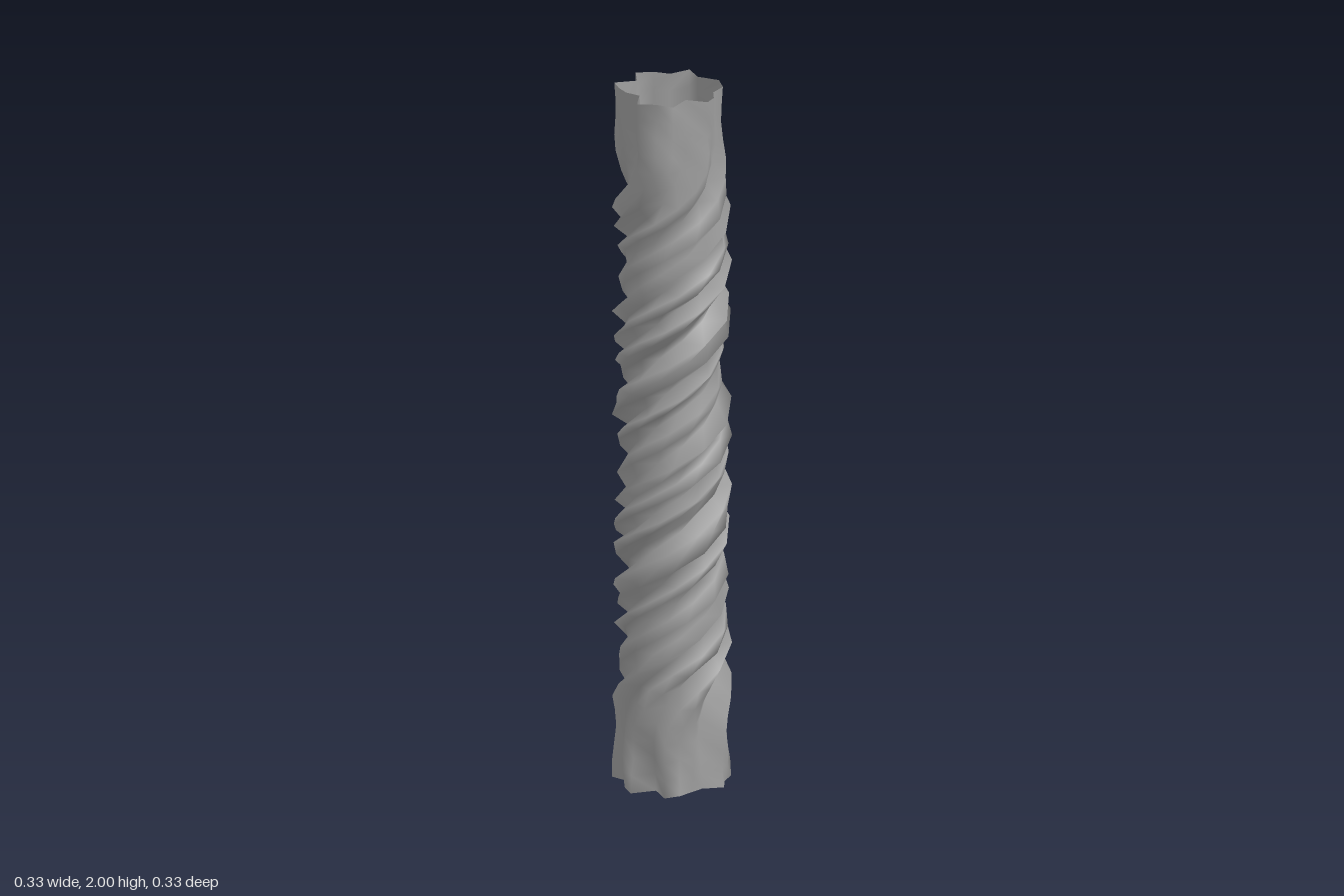
import * as THREE from 'three';

// Uneven star cross-section at the top: [degrees from front towards +x, radius]
const STAR = [
  [0, 0.145], [18, 0.163], [38, 0.105], [57, 0.152], [72, 0.14], [90, 0.118],
  [112, 0.14], [135, 0.146], [161, 0.12], [180, 0.165], [199, 0.122],
  [217, 0.147], [234, 0.165], [253, 0.115], [270, 0.165], [286, 0.145],
  [303, 0.13], [322, 0.108], [341, 0.165],
];
const HEIGHT = 2;
const ROWS = 40;
const TWIST = THREE.MathUtils.degToRad(980);

// Twist at a height, ending at zero on top: straight collars, even twist between
function twistAt(y) {
  const start = 0.15, end = 1.85, ease = 0.22;
  const ramp = (d) => (d <= 0 ? 0 : d < ease ? (d * d) / (2 * ease) : d - ease / 2);
  const travelled = ramp(y - start) - ramp(y - (end - ease));
  return (travelled / (end - start - ease) - 1) * TWIST;
}

// Open tube lofted from the star, turned row by row
function twistedTube() {
  const positions = [], index = [];
  const n = STAR.length;
  for (let i = 0; i <= ROWS; i++) {
    const y = (i / ROWS) * HEIGHT;
    const twist = twistAt(y);
    STAR.forEach(([deg, radius], j) => {
      // unevenness along each ridge, fading out at the top rim
      const wobble = 0.07 * Math.min(1, (ROWS - i) / 3) * Math.sin(i * 0.9 + j * 2.3);
      const r = Math.min(0.165, radius * (1 + wobble));
      const a = THREE.MathUtils.degToRad(deg) + twist;
      positions.push(r * Math.sin(a), y, r * Math.cos(a));
      if (i < ROWS) {
        const p = i * n + j, q = i * n + ((j + 1) % n);
        index.push(p, q, p + n, q, q + n, p + n);
      }
    });
  }
  const geometry = new THREE.BufferGeometry();
  geometry.setAttribute('position', new THREE.Float32BufferAttribute(positions, 3));
  geometry.setIndex(index);
  geometry.computeVertexNormals();
  return geometry;
}

export function createModel() {
  const group = new THREE.Group();
  group.name = 'twistedColumn';
  const tube = new THREE.Mesh(
    twistedTube(),
    new THREE.MeshStandardMaterial({ color: 0x9f9f9f, side: THREE.DoubleSide }),
  );
  tube.name = 'twistedTube';
  group.add(tube);
  return group;
}
